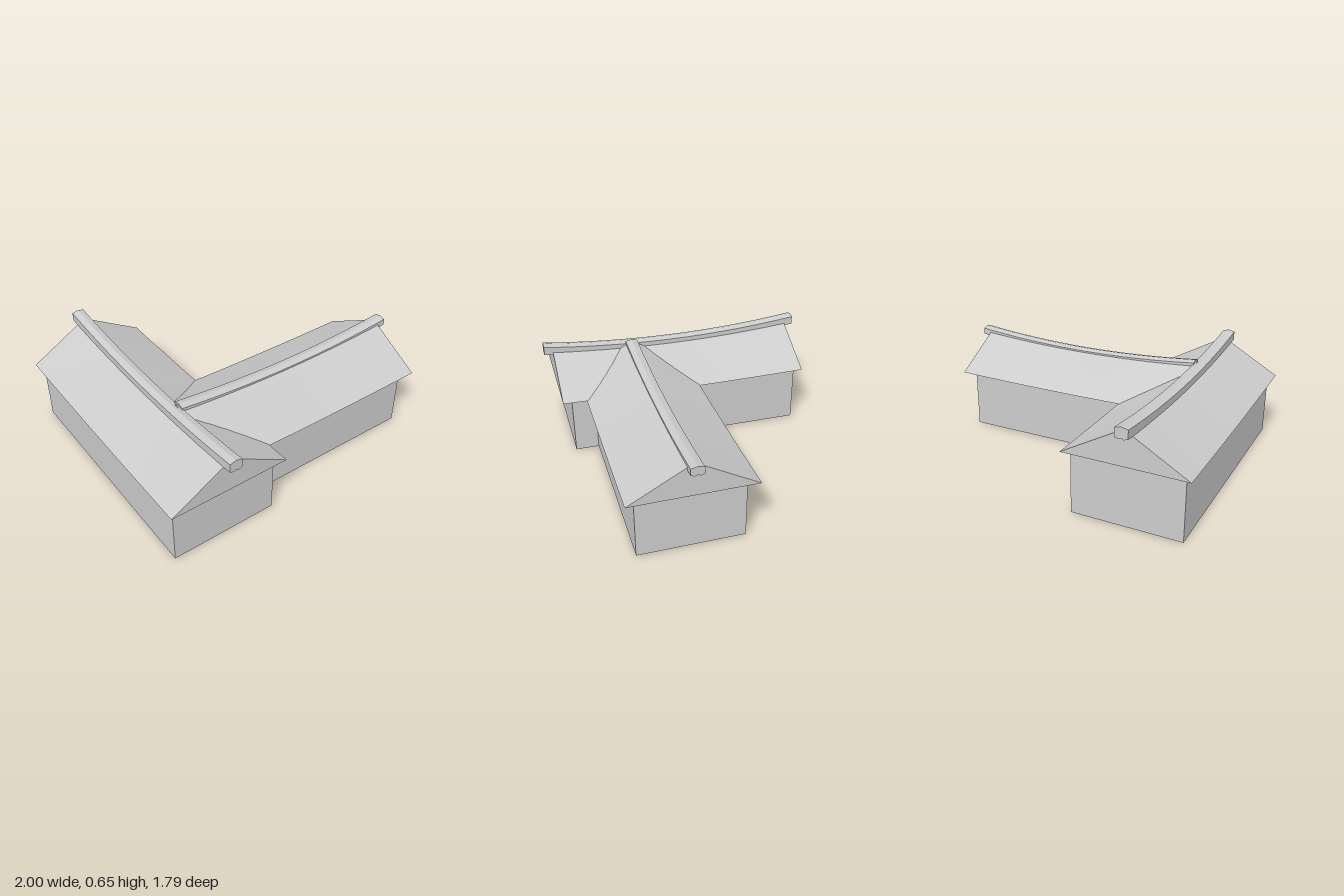
import * as THREE from 'three';
import { toCreasedNormals } from 'three/addons/utils/BufferGeometryUtils.js';

const grey = new THREE.MeshStandardMaterial({ color: 0xcccccc });

// Closed solid along z; section(t) gives [x, y] points, counter-clockwise, top point first.
function loft(z0, z1, section, steps = 24) {
  const pos = [];
  const idx = [];
  const n = section(0).length;
  for (let k = 0; k <= steps; k++) {
    const z = z0 + ((z1 - z0) * k) / steps;
    for (const [x, y] of section(z)) pos.push(x, y, z);
  }
  for (let k = 0; k < steps; k++) {
    for (let i = 0; i < n; i++) {
      const a = k * n + i;
      const b = k * n + ((i + 1) % n);
      idx.push(a, b, b + n, a, b + n, a + n);
    }
  }
  const end = steps * n;
  for (let i = 1; i < n - 1; i++) {
    idx.push(0, i + 1, i, end, end + i, end + i + 1);
  }
  const geo = new THREE.BufferGeometry();
  geo.setAttribute('position', new THREE.Float32BufferAttribute(pos, 3));
  geo.setIndex(idx);
  return toCreasedNormals(geo, 0.25);
}

// Height that sags from "end" at the tips to "mid" at the centre.
const sag = (z, centre, half, mid, end) => mid + (end - mid) * ((z - centre) / half) ** 2;

function wing(name, w) {
  const group = new THREE.Group();
  group.name = name;

  // Gabled roof with sagging ridge and eaves
  const roof = new THREE.Mesh(loft(w.roof[0], w.roof[1], (z) => {
    const ridge = sag(z, w.centre, w.half, w.ridgeMid, w.ridgeEnd);
    const eave = sag(z, w.centre, w.half, 0.384, 0.393);
    return [[0, ridge], [-w.width, eave], [w.width, eave]];
  }), grey);
  roof.name = name + 'Roof';

  // Ridge beam with peaked top and notched underside
  const beam = new THREE.Mesh(loft(w.beam[0], w.beam[1], (z) => {
    const top = sag(z, w.centre, w.half + 0.06, w.beamMid, w.beamEnd);
    const low = top - w.beamHeight;
    return [[0, top], [-0.04, top - 0.01], [-0.04, low], [-0.015, low - 0.008],
      [0, low], [0.015, low - 0.008], [0.04, low], [0.04, top - 0.01]];
  }), grey);
  beam.name = name + 'RidgeBeam';

  group.add(roof, beam);
  return group;
}

export function createModel() {
  const model = new THREE.Group();
  model.name = 'house';

  // Walls: one T-shaped footprint, drawn as (x, -z) and extruded upward
  const plan = [[-0.96, 0.775], [-0.28, 0.775], [-0.28, 0.622], [0.885, 0.622],
    [0.885, -0.03], [-0.28, -0.03], [-0.28, -0.8], [-0.96, -0.8]];
  const shape = new THREE.Shape(plan.map(([x, z]) => new THREE.Vector2(x, -z)));
  const walls = new THREE.Mesh(
    new THREE.ExtrudeGeometry(shape, { depth: 0.386, bevelEnabled: false }), grey);
  walls.rotation.x = -Math.PI / 2;
  walls.name = 'walls';
  model.add(walls);

  // Main wing runs front to back
  const main = wing('mainWing', {
    roof: [-0.842, 0.836], beam: [-0.9, 0.895], centre: 0, half: 0.84, width: 0.3825,
    ridgeMid: 0.57, ridgeEnd: 0.612, beamMid: 0.597, beamEnd: 0.653, beamHeight: 0.065,
  });
  main.position.x = -0.6175;

  // Ridge beam sits slightly off the roof centre
  main.getObjectByName('mainWingRidgeBeam').position.x = -0.0125;
  model.add(main);

  // Side wing runs toward +x and meets the main ridge
  const side = wing('sideWing', {
    roof: [-0.61, 0.945], beam: [-0.6, 1], centre: 0.2, half: 0.745, width: 0.385,
    ridgeMid: 0.572, ridgeEnd: 0.605, beamMid: 0.573, beamEnd: 0.619, beamHeight: 0.052,
  });
  side.rotation.y = Math.PI / 2;
  side.position.z = 0.295;
  model.add(side);

  return model;
}
